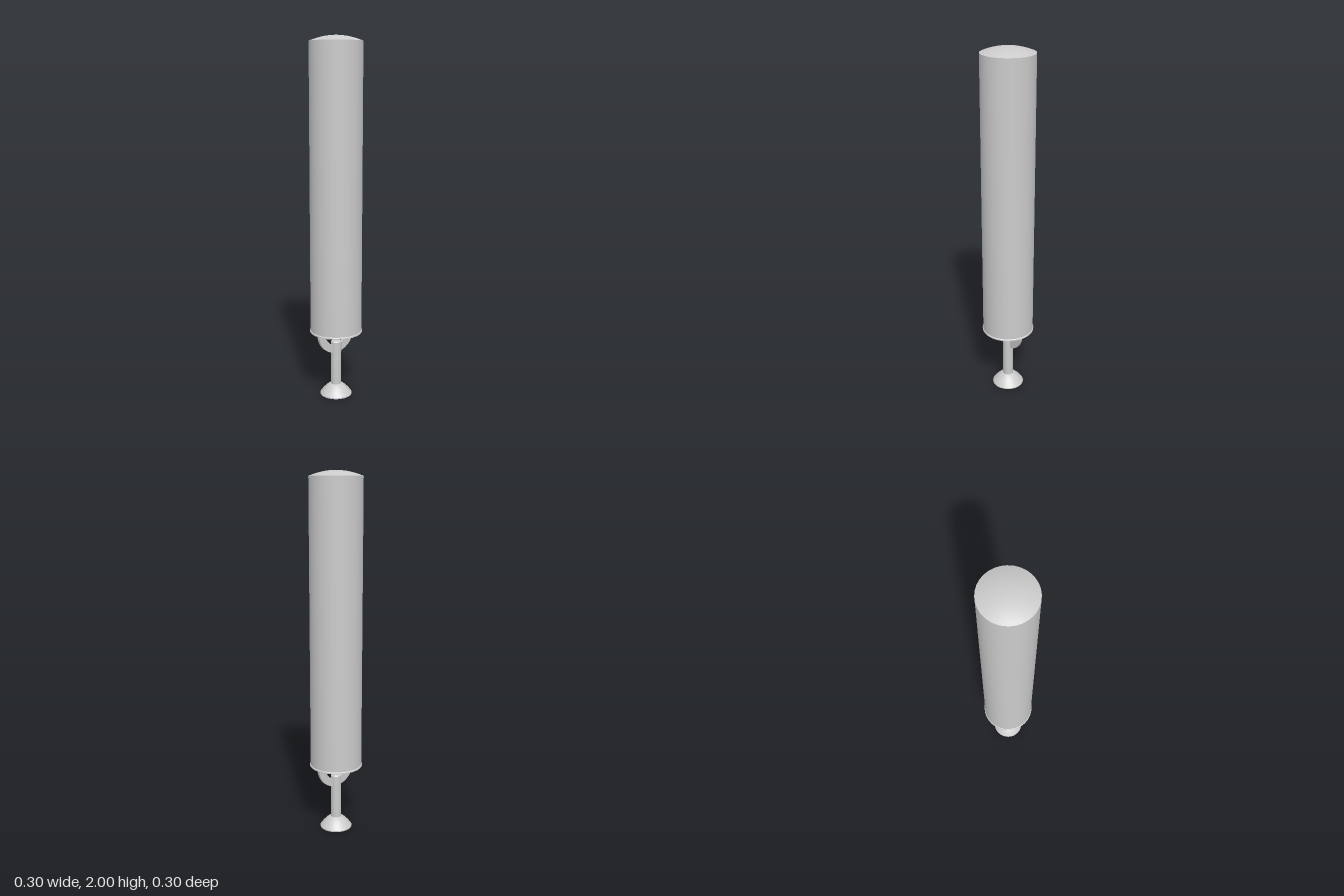
import * as THREE from 'three';
import { toCreasedNormals } from 'three/addons/utils/BufferGeometryUtils.js';

const material = new THREE.MeshStandardMaterial({ color: 0xcccccc });

function addPart(group, name, geometry) {
  const mesh = new THREE.Mesh(toCreasedNormals(geometry, 0.5), material);
  mesh.name = name;
  group.add(mesh);
}

// Turned part from [radius, height] pairs, listed bottom to top
function turned(points, sides = 32) {
  return new THREE.LatheGeometry(points.map(([r, y]) => new THREE.Vector2(r, y)), sides);
}

export function createModel() {
  const group = new THREE.Group();

  // Long cylinder with a thin lip below and a shallow domed top
  const dome = [];
  for (let i = 0; i <= 8; i++) {
    const r = 0.144 * (1 - i / 8);
    dome.push([r, 1.97 + 0.03 * (1 - (r / 0.144) ** 2)]);
  }
  addPart(group, 'body', turned([[0, 0.378], [0.144, 0.378], ...dome]));
  addPart(group, 'bottomLip', turned([[0, 0.376], [0.148, 0.376], [0.148, 0.382], [0.144, 0.386]]));

  // Flat half ring hanging under the body
  const shape = new THREE.Shape();
  shape.absarc(0, 0, 0.128, Math.PI, Math.PI * 2, false);
  shape.absarc(0, 0, 0.083, Math.PI * 2, Math.PI, true);
  shape.closePath();
  const ring = new THREE.ExtrudeGeometry(shape, { depth: 0.016, bevelEnabled: false, curveSegments: 24 });
  ring.translate(0, 0.378, -0.008);
  addPart(group, 'hangingRing', ring);

  // Stem with a softened top end
  addPart(group, 'stem', turned([[0, 0.05], [0.03, 0.05], [0.03, 0.312], [0.024, 0.319], [0, 0.323]], 24));

  // Flared foot
  addPart(group, 'foot', turned([
    [0, 0], [0.09, 0], [0.09, 0.006], [0.076, 0.024], [0.06, 0.041], [0.045, 0.054], [0.03, 0.063], [0, 0.063],
  ]));

  return group;
}
